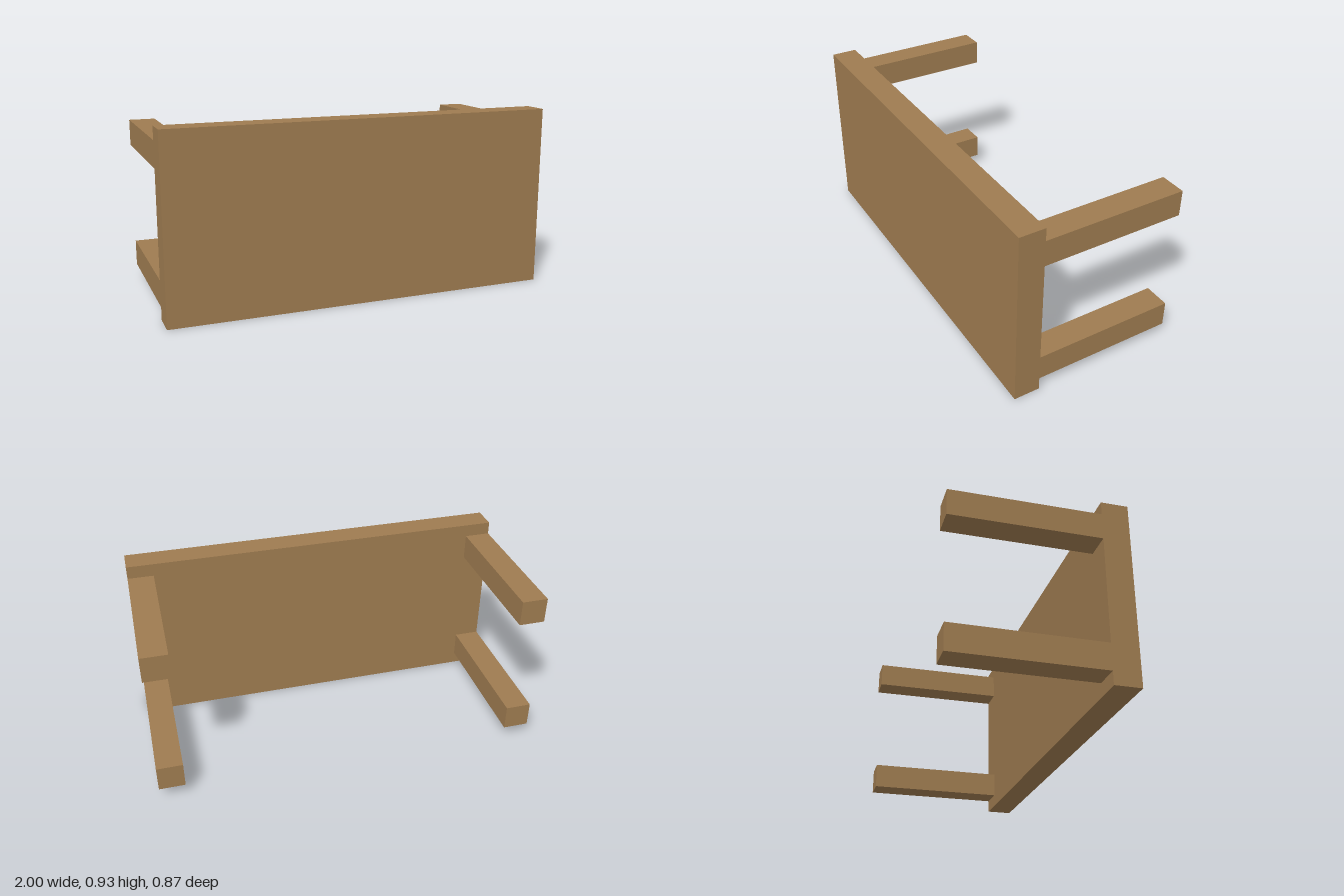
import * as THREE from 'three';

const WIDTH = 2, HEIGHT = 0.9333, DEPTH = 0.8667;
const THICK = 0.1333; // board thickness and leg width
const INSET = 0.0667; // gap between legs and the long edges

export function createModel() {
  const model = new THREE.Group();
  model.name = 'tippedTable';
  const wood = new THREE.MeshStandardMaterial({ color: 0x9e7b50 });
  wood.name = 'wood';

  const addBox = (name, size, position) => {
    const mesh = new THREE.Mesh(new THREE.BoxGeometry(...size), wood);
    mesh.name = name;
    mesh.position.set(...position);
    model.add(mesh);
  };

  // Table top, standing on its long edge and facing the front
  addBox('tableTop', [WIDTH, HEIGHT, THICK], [0, HEIGHT / 2, (DEPTH - THICK) / 2]);

  // Four legs pointing backwards, flush with the short ends
  const legLength = DEPTH - THICK;
  for (const [side, sx] of [['Left', 1], ['Right', -1]]) {
    for (const [level, sy] of [['upper', 1], ['lower', -1]]) {
      const x = sx * (WIDTH - THICK) / 2;
      const y = HEIGHT / 2 + sy * (HEIGHT / 2 - INSET - THICK / 2);
      addBox(`${level}${side}Leg`, [THICK, THICK, legLength], [x, y, -THICK / 2]);
    }
  }
  return model;
}
